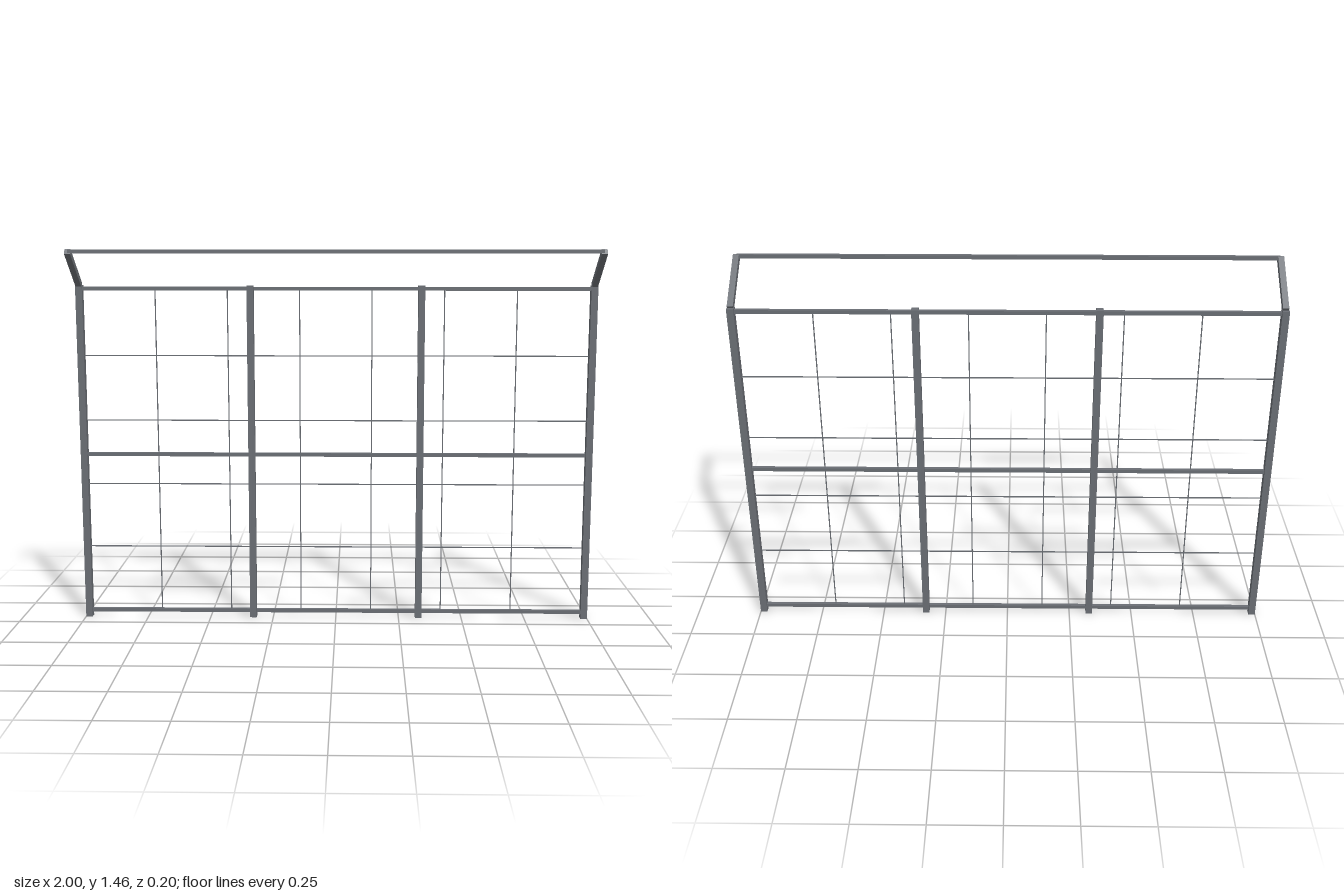
import * as THREE from 'three';

export function createModel() {
  const model = new THREE.Group();
  model.name = 'fence';
  const steel = new THREE.MeshStandardMaterial({ color: 0x6a6e74 });
  steel.name = 'grey steel';

  const Z = -0.086, END = 0.987, POST_H = 1.317;

  function bar(name, size, pos) {
    const mesh = new THREE.Mesh(new THREE.BoxGeometry(...size), steel);
    mesh.name = name;
    mesh.position.set(...pos);
    model.add(mesh);
    return mesh;
  }

  // Four upright posts
  for (let i = 0; i < 4; i++) {
    const x = -END + (i * 2 * END) / 3;
    bar('post', [0.026, POST_H, 0.028], [x, POST_H / 2, Z]);
  }

  // Bottom, middle and top rails
  for (const y of [0.026, 0.659, 1.305]) {
    bar('rail', [2 * END, 0.014, 0.014], [0, y, Z]);
  }

  // Slanted arms leaning forward from the end posts
  const start = new THREE.Vector2(-0.085, 1.317), tip = new THREE.Vector2(0.092, 1.449);
  const run = tip.clone().sub(start);
  for (const side of [-1, 1]) {
    const arm = bar('slantedArm', [0.022, 0.022, run.length()],
      [side * END, (start.y + tip.y) / 2, (start.x + tip.x) / 2]);
    arm.rotation.x = -Math.atan2(run.y, run.x);
  }

  // Rail joining the arm tips
  bar('overhangRail', [2 * END, 0.014, 0.014], [0, 1.449, 0.089]);

  // Wire grid
  for (let i = 0; i < 4; i++) {
    bar('horizontalWire', [2 * END, 0.004, 0.003], [0, 0.288 + i * 0.253, Z]);
  }
  for (let i = 0; i < 6; i++) {
    bar('verticalWire', [0.004, 1.28, 0.003], [-0.695 + i * 0.278, 0.666, Z]);
  }
  return model;
}
